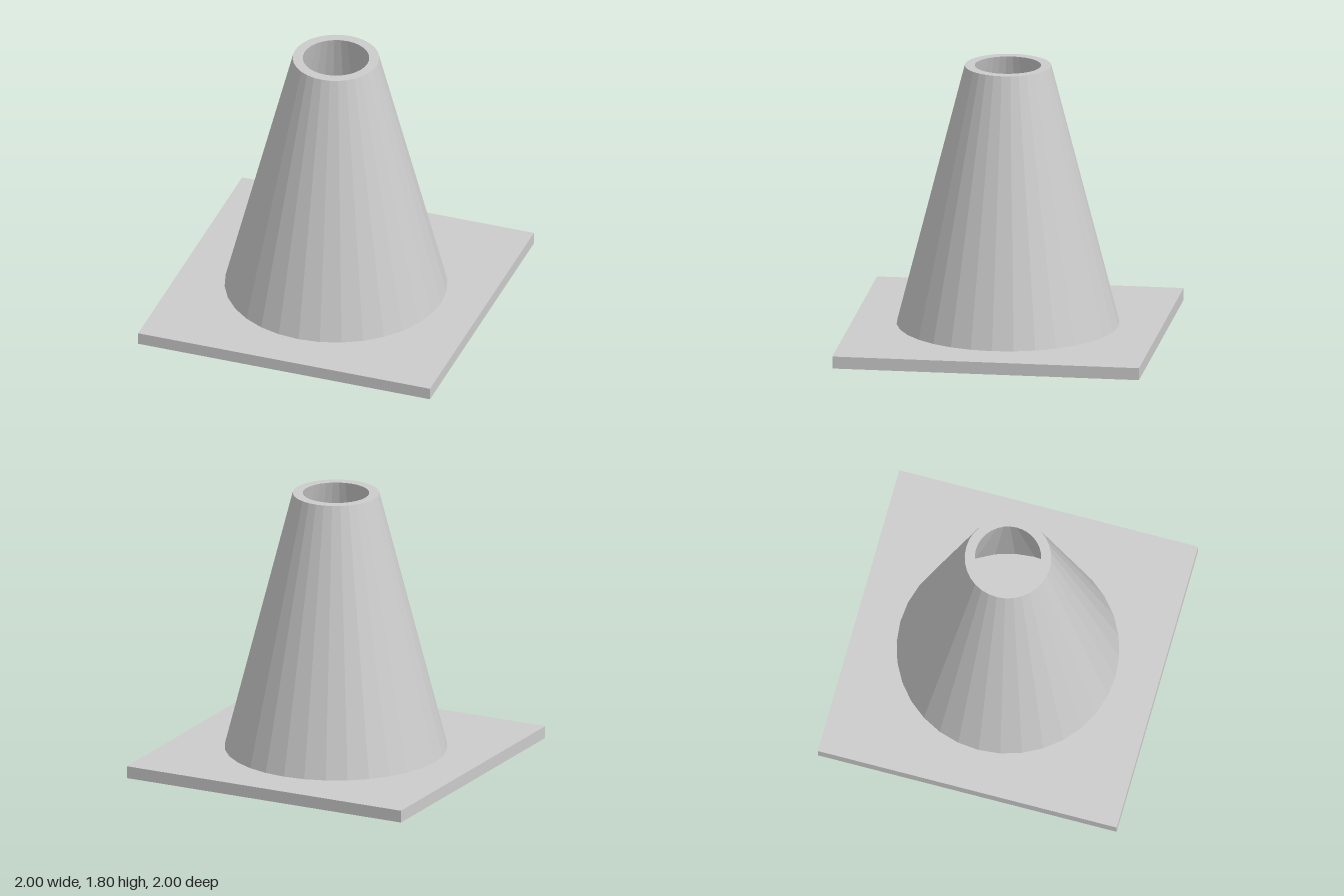
import * as THREE from 'three';

export function createModel() {
  const group = new THREE.Group();
  const material = new THREE.MeshStandardMaterial({ color: 0xcccccc, flatShading: true });

  // Square foot plate
  const baseHeight = 0.08;
  const base = new THREE.Mesh(new THREE.BoxGeometry(2, baseHeight, 2), material);
  base.name = 'basePlate';
  base.position.y = baseHeight / 2;
  group.add(base);

  // Hollow tapered body: outer wall, flat rim, then inner wall down to the plate
  const profile = [
    [0.72, baseHeight],
    [0.28, 1.8],
    [0.215, 1.8],
    [0.655, baseHeight],
  ].map(([r, y]) => new THREE.Vector2(r, y));
  const cone = new THREE.Mesh(new THREE.LatheGeometry(profile, 32), material);
  cone.name = 'coneBody';
  group.add(cone);

  return group;
}
